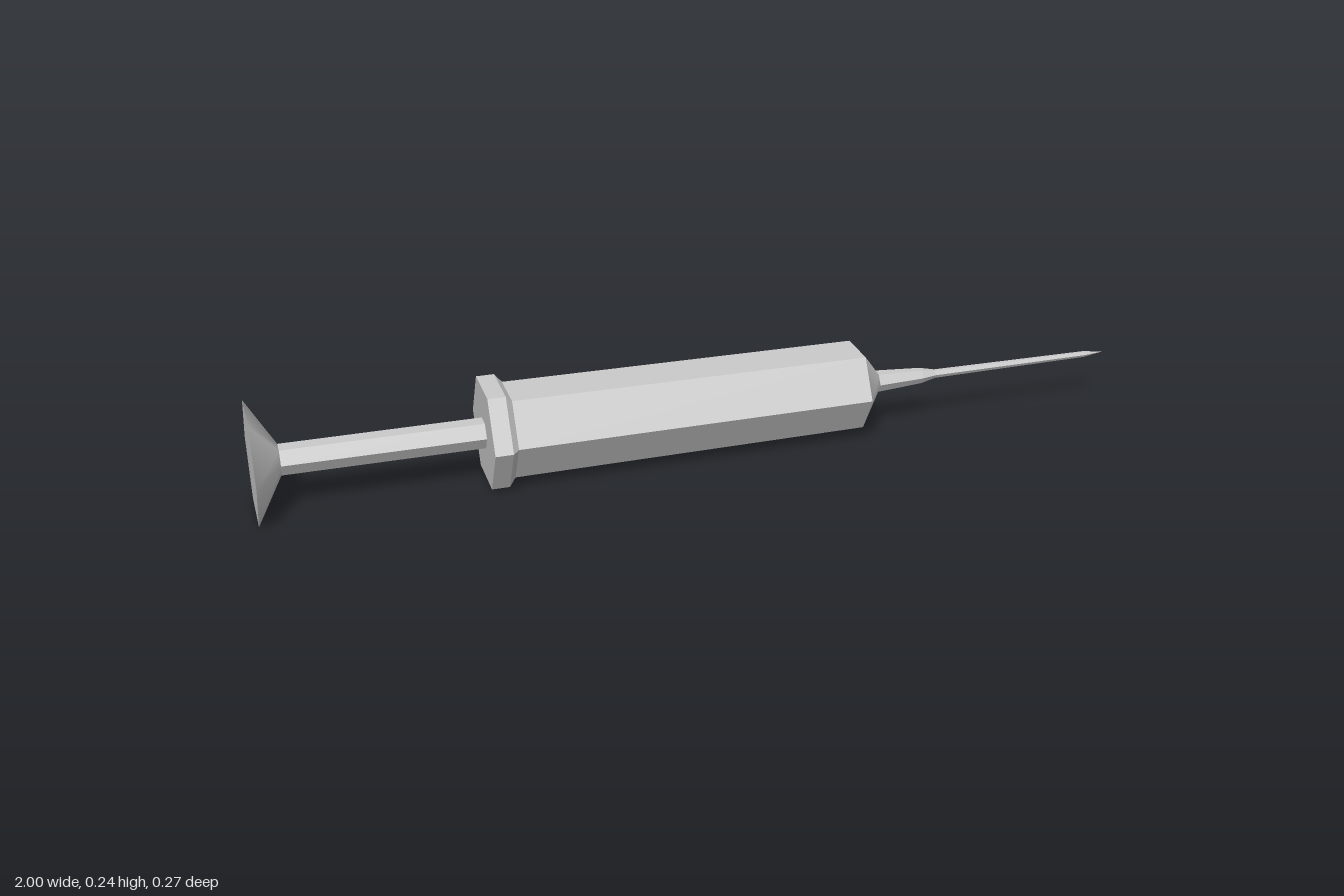
import * as THREE from 'three';

const SIDES = 6;
const AXIS_Y = 0.118;

const flat = new THREE.MeshStandardMaterial({ color: 0xcccccc, flatShading: true });
const smooth = new THREE.MeshStandardMaterial({ color: 0xcccccc });

// Six-sided turned part along x; profile is a list of [x, radius] from back to tip
function turned(name, profile, material = flat) {
  const points = profile.map(([x, r]) => new THREE.Vector2(r, x));
  const geometry = new THREE.LatheGeometry(points, SIDES);
  geometry.rotateZ(-Math.PI / 2);
  const mesh = new THREE.Mesh(geometry, material);
  mesh.name = name;
  mesh.position.y = AXIS_Y;
  return mesh;
}

export function createModel() {
  const model = new THREE.Group();
  model.name = 'syringe';

  // Plunger: flat thumb plate, flared underside and long rod
  const plunger = new THREE.Group();
  plunger.name = 'plunger';
  plunger.add(
    turned('thumbPlate', [[-1, 0], [-1, 0.136]]),
    turned('thumbPlateFlare', [[-1, 0.136], [-0.94, 0.034]], smooth),
    turned('plungerRod', [[-0.94, 0.034], [-0.5, 0.034]])
  );

  // Barrel: flange collar, slightly tapered body and conical shoulder
  const barrel = new THREE.Group();
  barrel.name = 'barrel';
  barrel.add(
    turned('flange', [[-0.5, 0], [-0.5, 0.125], [-0.46, 0.125], [-0.445, 0.106]]),
    turned('barrelBody', [[-0.445, 0.106], [0.37, 0.101]]),
    turned('shoulder', [[0.37, 0.101], [0.42, 0.025]], smooth)
  );

  // Needle: tapered hub, thin shaft and sharp point
  const needle = new THREE.Group();
  needle.name = 'needle';
  needle.add(
    turned('needleHub', [[0.42, 0.025], [0.53, 0.018], [0.565, 0.01]]),
    turned('needleShaft', [[0.565, 0.01], [0.95, 0.007]]),
    turned('needlePoint', [[0.95, 0.007], [1, 0]])
  );

  model.add(plunger, barrel, needle);
  return model;
}
